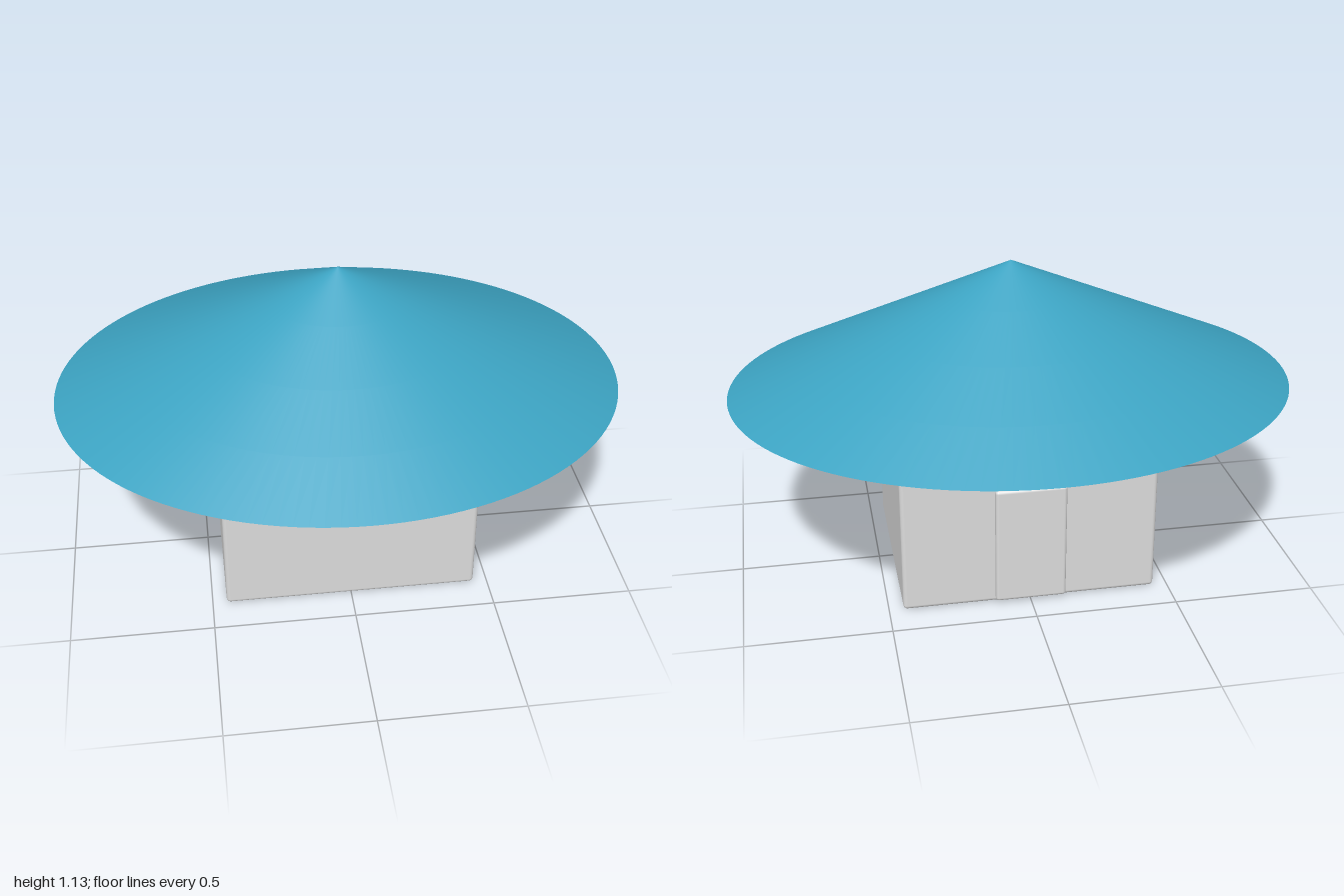
import * as THREE from 'three';
import { RoundedBoxGeometry } from 'three/addons/geometries/RoundedBoxGeometry.js';

const wallMaterial = new THREE.MeshStandardMaterial({ color: 0xdcdcdc });
wallMaterial.name = 'pale grey';
const roofMaterial = new THREE.MeshStandardMaterial({ color: 0x3ca3c2 });
roofMaterial.name = 'teal blue';

// Softly bevelled block placed by its centre
function block(name, size, radius, position) {
  const mesh = new THREE.Mesh(new RoundedBoxGeometry(...size, 4, radius), wallMaterial);
  mesh.name = name;
  mesh.position.set(...position);
  return mesh;
}

export function createModel() {
  const hut = new THREE.Group();
  hut.name = 'hut';

  // Square body
  hut.add(block('walls', [0.9, 0.66, 0.76], 0.015, [0, 0.33, 0]));

  // Door panel standing slightly proud of the back wall
  hut.add(block('door', [0.25, 0.435, 0.04], 0.012, [0, 0.2275, -0.38]));

  // Wide oval conical roof with a closed underside, floating just above the walls
  const roofShape = new THREE.ConeGeometry(1, 0.45, 128, 4);
  roofShape.scale(1, 1, 0.837);
  const roof = new THREE.Mesh(roofShape, roofMaterial);
  roof.name = 'roof';
  roof.position.y = 0.68 + 0.225;
  hut.add(roof);

  return hut;
}
